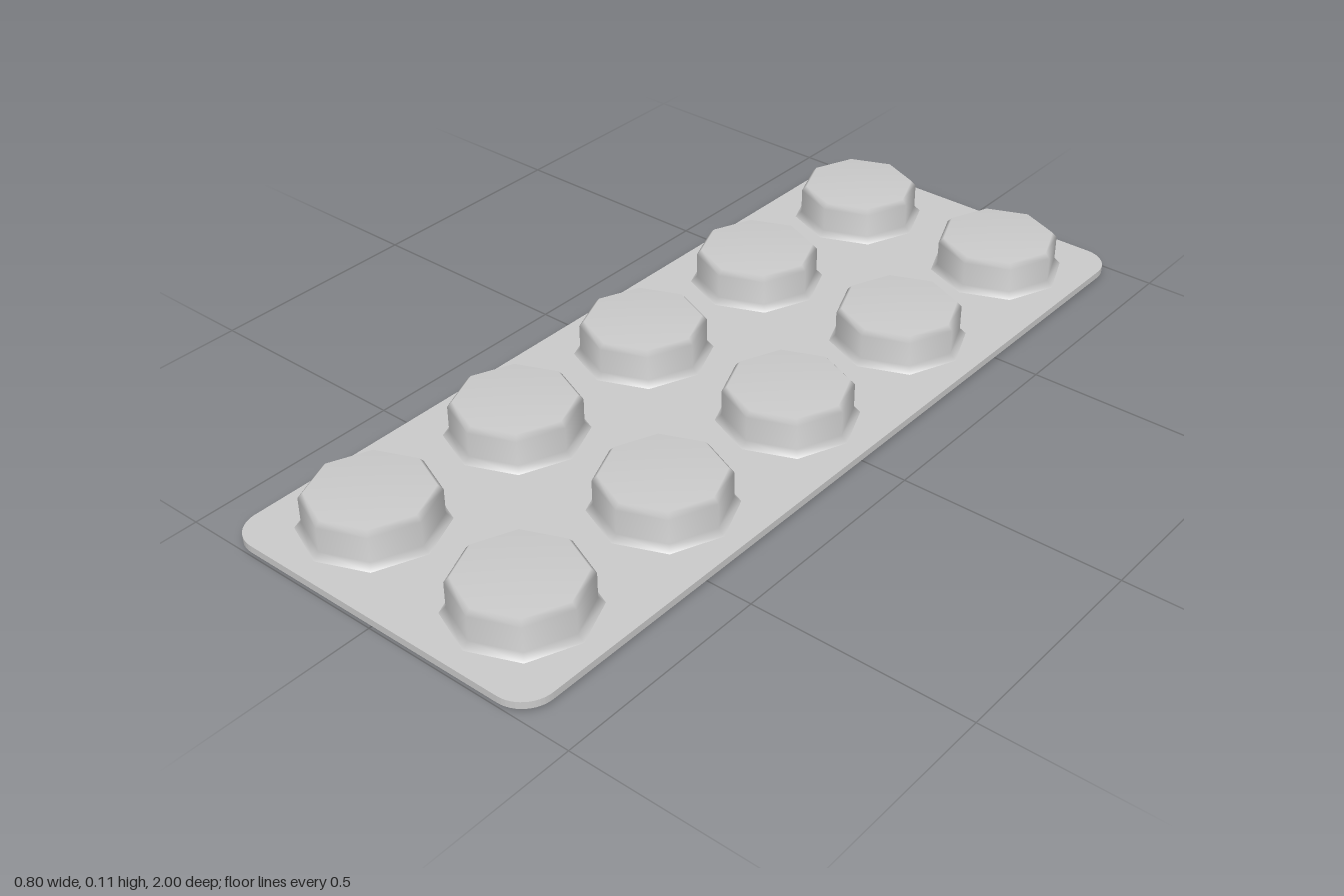
import * as THREE from 'three';

const material = new THREE.MeshStandardMaterial({ color: 0xcccccc });
const BOTTOM = 0.01, TOP = 0.026;

// Eight-sided surface of revolution, profile running from bottom to top
function octagon(name, profile, x, y, z) {
  const points = profile.map(([r, h]) => new THREE.Vector2(r, h));
  const mesh = new THREE.Mesh(new THREE.LatheGeometry(points, 8), material);
  mesh.name = name;
  mesh.position.set(x, y, z);
  return mesh;
}

// Thin card with rounded corners
function backingSheet() {
  const w = 0.4, l = 1, r = 0.07;
  const shape = new THREE.Shape();
  shape.absarc(w - r, l - r, r, 0, Math.PI / 2);
  shape.absarc(-w + r, l - r, r, Math.PI / 2, Math.PI);
  shape.absarc(-w + r, -l + r, r, Math.PI, Math.PI * 1.5);
  shape.absarc(w - r, -l + r, r, Math.PI * 1.5, Math.PI * 2);
  shape.closePath();
  const geometry = new THREE.ExtrudeGeometry(shape, {
    depth: TOP - BOTTOM, bevelEnabled: false, curveSegments: 6,
  });
  geometry.rotateX(-Math.PI / 2);
  const mesh = new THREE.Mesh(geometry, material);
  mesh.name = 'backingSheet';
  mesh.position.y = BOTTOM;
  return mesh;
}

export function createModel() {
  const group = new THREE.Group();
  group.name = 'blisterPack';
  group.add(backingSheet());

  // Flared foot, upright wall, chamfered rim and flat top
  const pocket = [[0.154, 0], [0.14, 0.014], [0.14, 0.071], [0.129, 0.083], [0, 0.083]];

  for (const x of [-0.2, 0.2]) {
    for (let row = -2; row <= 2; row++) {
      const z = row * 0.4;
      group.add(octagon('tabletPocket', pocket, x, TOP, z));
      // Foil bulges slightly under each pocket, most in the middle row
      const sag = row === 0 ? 0.01 : 0.004;
      group.add(octagon('foilBulge', [[0, -sag], [0.08, -sag * 0.6], [0.16, 0.001]], x, BOTTOM, z));
    }
  }
  return group;
}
